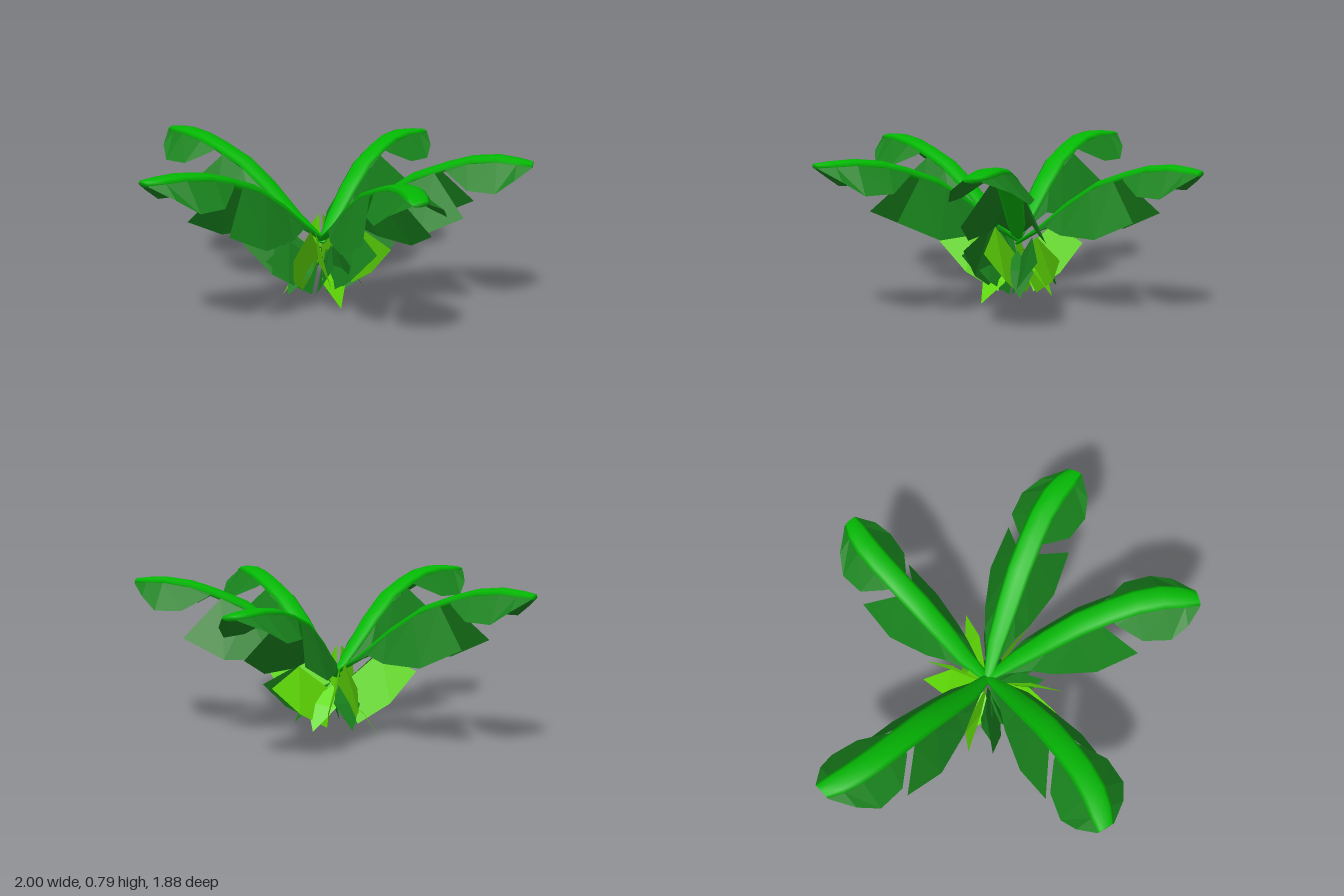
import * as THREE from 'three';

const ribGreen = new THREE.MeshStandardMaterial({ color: 0x04b804, name: 'ribGreen' });
const leafGreen = new THREE.MeshStandardMaterial({ color: 0x18801c, name: 'leafGreen', side: THREE.DoubleSide, flatShading: true });
const limeGreen = new THREE.MeshStandardMaterial({ color: 0x60dc06, name: 'limeGreen', side: THREE.DoubleSide, flatShading: true });

// Frond spine: distance out, height, sideways bow, half width
const spine = [
  [0.0, 0.32, 0, 0.022], [0.15, 0.425, -0.025, 0.045], [0.3, 0.55, -0.035, 0.056],
  [0.45, 0.655, -0.045, 0.06], [0.6, 0.715, -0.05, 0.06], [0.72, 0.752, -0.05, 0.06],
  [0.84, 0.766, -0.04, 0.06], [0.93, 0.762, -0.02, 0.055], [1.0, 0.758, 0, 0.04],
];

function spineAt(r) {
  let i = 0;
  while (i < spine.length - 2 && r > spine[i + 1][0]) i++;
  const t = (r - spine[i][0]) / (spine[i + 1][0] - spine[i][0]);
  return spine[i].map((v, k) => v + (spine[i + 1][k] - v) * t);
}

function makeGeometry(points, index) {
  const g = new THREE.BufferGeometry();
  g.setAttribute('position', new THREE.Float32BufferAttribute(points.flat(), 3));
  g.setIndex(index);
  g.computeVertexNormals();
  return g;
}

// Closed flat oval swept along the spine
function ribGeometry() {
  const sides = 8, points = [], index = [];
  spine.forEach(([r, y, z, w], i) => {
    const a = spine[Math.max(0, i - 1)], b = spine[Math.min(spine.length - 1, i + 1)];
    const slope = Math.atan2(b[1] - a[1], b[0] - a[0]);
    for (let s = 0; s < sides; s++) {
      const t = (s / sides) * Math.PI * 2, h = Math.sin(t) * w * 0.36;
      points.push([r - Math.sin(slope) * h, y + Math.cos(slope) * h, z + Math.cos(t) * w]);
      if (i > 0) {
        const n = (s + 1) % sides, p = (i - 1) * sides, q = i * sides;
        index.push(p + s, q + s, p + n, p + n, q + s, q + n);
      }
    }
  });
  const last = (spine.length - 1) * sides;
  for (let s = 1; s < sides - 1; s++) {
    index.push(0, s, s + 1, last, last + s + 1, last + s);
  }
  return makeGeometry(points, index);
}

// Blade hanging from the spine; edge rows are [distance, height, sideways]
function bladeGeometry(attach, edge, side) {
  const points = [], index = [];
  attach.forEach((r, i) => {
    const [sr, sy, sz, w] = spineAt(r), [er, ey, el] = edge[i];
    points.push([sr, sy - 0.004, sz + side * w * 0.92], [er, ey, spineAt(er)[2] + side * el]);
    if (i > 0) {
      const k = i * 2;
      index.push(k - 2, k - 1, k, k, k - 1, k + 1);
    }
  });
  return makeGeometry(points, index);
}

const innerEdge = [[0.2, 0.43, 0.08], [0.3, 0.405, 0.12], [0.51, 0.41, 0.175], [0.71, 0.51, 0.165]];
const tipEdge = [[0.61, 0.7, 0.07], [0.72, 0.64, 0.155], [0.85, 0.64, 0.17], [0.93, 0.7, 0.125], [1.0, 0.75, 0.042]];

function makeFrond() {
  const frond = new THREE.Group();
  const add = (geometry, material, name) => {
    const m = new THREE.Mesh(geometry, material);
    m.name = name;
    frond.add(m);
  };
  add(ribGeometry(), ribGreen, 'rib');
  for (const side of [1, -1]) {
    add(bladeGeometry([0.08, 0.28, 0.42, 0.55], innerEdge, side), leafGreen, 'innerBlade');
    add(bladeGeometry([0.6, 0.7, 0.84, 0.93, 1.0], tipEdge, side), leafGreen, 'tipBlade');
  }
  return frond;
}

// One half of a young leaf, folded down from its rising ridge
function youngHalfGeometry(side) {
  return makeGeometry(
    [[0.02, 0.25, 0], [0.22, 0.42, side * 0.012], [0.39, 0.32, side * 0.06],
      [0.25, 0.17, side * 0.09], [0.09, 0.07, side * 0.07]],
    [0, 1, 4, 1, 3, 4, 1, 2, 3]);
}

// Drooping pointed leaf close to the ground
function lowLeafGeometry() {
  return makeGeometry(
    [[0.03, 0.2, 0], [0.15, 0.13, 0.075], [0.21, 0.0, 0.0], [0.12, 0.11, -0.075]],
    [0, 1, 3, 1, 2, 3]);
}

export function createModel() {
  const plant = new THREE.Group();
  plant.name = 'plant';
  const heading = (x, z) => Math.atan2(-z, x);

  // Five large fronds: tip x, tip z, height scale
  const tips = [[0.99, -0.2, 1], [0.785, 0.65, 0.985], [-0.38, 0.92, 1], [-0.99, -0.18, 1], [0.14, -0.935, 0.94]];
  for (const [x, z, h] of tips) {
    const frond = makeFrond();
    frond.name = 'frond';
    frond.rotation.y = heading(x, z);
    const s = Math.hypot(x, z);
    frond.scale.set(s, h, s);
    plant.add(frond);
  }

  // Young leaves around the heart: tip x, tip z, scale, height, two half colours
  const young = [
    [0.11, 0.37, 0.98, 1, limeGreen, limeGreen], [-0.33, 0.2, 1, 1, limeGreen, leafGreen],
    [-0.15, -0.28, 0.82, 0.95, limeGreen, limeGreen], [0.26, -0.26, 0.95, 0.88, leafGreen, limeGreen],
    [0.37, 0.07, 0.97, 1, leafGreen, limeGreen], [0.22, 0.2, 0.72, 0.8, leafGreen, leafGreen],
    [-0.2, 0.22, 0.78, 0.78, leafGreen, leafGreen],
  ];
  for (const [x, z, s, h, ...colours] of young) {
    const leaf = new THREE.Group();
    leaf.name = 'youngLeaf';
    colours.forEach((material, i) => {
      const half = new THREE.Mesh(youngHalfGeometry(i ? -1 : 1), material);
      half.name = 'youngLeafHalf';
      leaf.add(half);
    });
    leaf.rotation.y = heading(x, z);
    leaf.scale.set(s, h, s);
    plant.add(leaf);
  }

  // Low drooping leaves
  const low = [
    [-0.2, 0.03, limeGreen, 0], [0.14, 0.1, limeGreen, 0.02], [0.05, -0.2, limeGreen, 0.06],
    [-0.08, 0.18, leafGreen, 0.07], [0.17, -0.08, leafGreen, 0.07], [-0.12, -0.14, leafGreen, 0.07],
  ];
  for (const [x, z, material, y] of low) {
    const leaf = new THREE.Mesh(lowLeafGeometry(), material);
    leaf.name = 'lowLeaf';
    leaf.rotation.y = heading(x, z);
    leaf.position.y = y;
    plant.add(leaf);
  }
  return plant;
}
